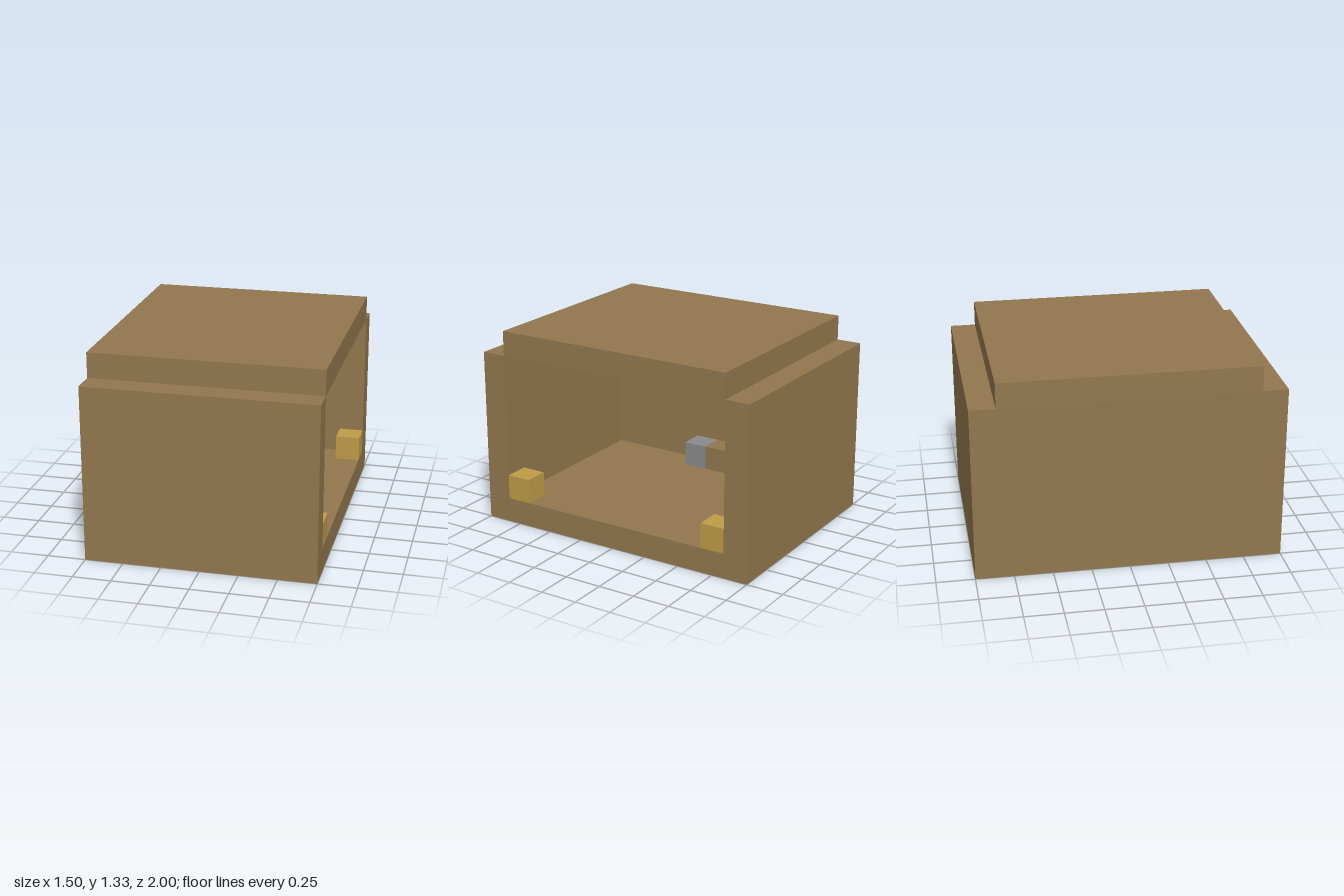
import * as THREE from 'three';

const U = 1 / 6; // wall thickness and block size

export function createModel() {
  const group = new THREE.Group();
  const material = (name, color) => {
    const m = new THREE.MeshStandardMaterial({ color });
    m.name = name;
    return m;
  };
  const wood = material('brown wood', 0x92774e);
  const gold = material('gold', 0xbe9c46);
  const stone = material('grey stone', 0x8a8a8c);

  const add = (name, geometry, mat) => {
    const mesh = new THREE.Mesh(geometry, mat);
    mesh.name = name;
    group.add(mesh);
    return mesh;
  };
  // Box given by its lower and upper corners, in block units
  const box = (name, mat, [x0, y0, z0], [x1, y1, z1]) => {
    const g = new THREE.BoxGeometry((x1 - x0) * U, (y1 - y0) * U, (z1 - z0) * U);
    g.translate((x0 + x1) / 2 * U, (y0 + y1) / 2 * U, (z0 + z1) / 2 * U);
    return add(name, g, mat);
  };

  // U-shaped shell: floor with front and back walls, swept along x
  const outline = [[-6, 0], [6, 0], [6, 7], [5, 7], [5, 1], [-5, 1], [-5, 7], [-6, 7]];
  const shell = new THREE.Shape(outline.map(([z, y]) => new THREE.Vector2(-z * U, y * U)));
  const shellGeometry = new THREE.ExtrudeGeometry(shell, { depth: 9 * U, bevelEnabled: false });
  shellGeometry.rotateY(Math.PI / 2).translate(-4.5 * U, 0, 0);
  add('shell', shellGeometry, wood);

  // Closed side and raised lid
  box('sideWall', wood, [-4.5, 1, -5], [-3.5, 7, 5]);
  box('lid', wood, [-4.5, 7, -5], [4.5, 8, 5]);

  // Corner blocks: lower pair at the opening with a softened outer corner, upper pair deep inside
  for (const side of [1, -1]) {
    const r = 0.02;
    const s = new THREE.Shape();
    const a = -side * 5 * U, b = -side * 4 * U;
    s.moveTo(b, U);
    s.lineTo(b, 2 * U);
    s.lineTo(a, 2 * U);
    s.lineTo(a, U + r);
    s.quadraticCurveTo(a, U, a + side * r, U);
    const g = new THREE.ExtrudeGeometry(s, { depth: U, bevelEnabled: false, curveSegments: 4 });
    g.rotateY(Math.PI / 2).translate(3.5 * U, 0, 0);
    add('lowerCornerBlock', g, gold);
    box('upperCornerBlock', gold, [-3.5, 6, side * 4.5 - 0.5], [-2.5, 7, side * 4.5 + 0.5]);
  }

  // Small stone-ended bar lying against the closed side
  box('barHead', stone, [-3.5, 1, 0], [-2.5, 2, 1]);
  box('barHandle', wood, [-3.5, 1, -2], [-2.5, 2, 0]);

  return group;
}
